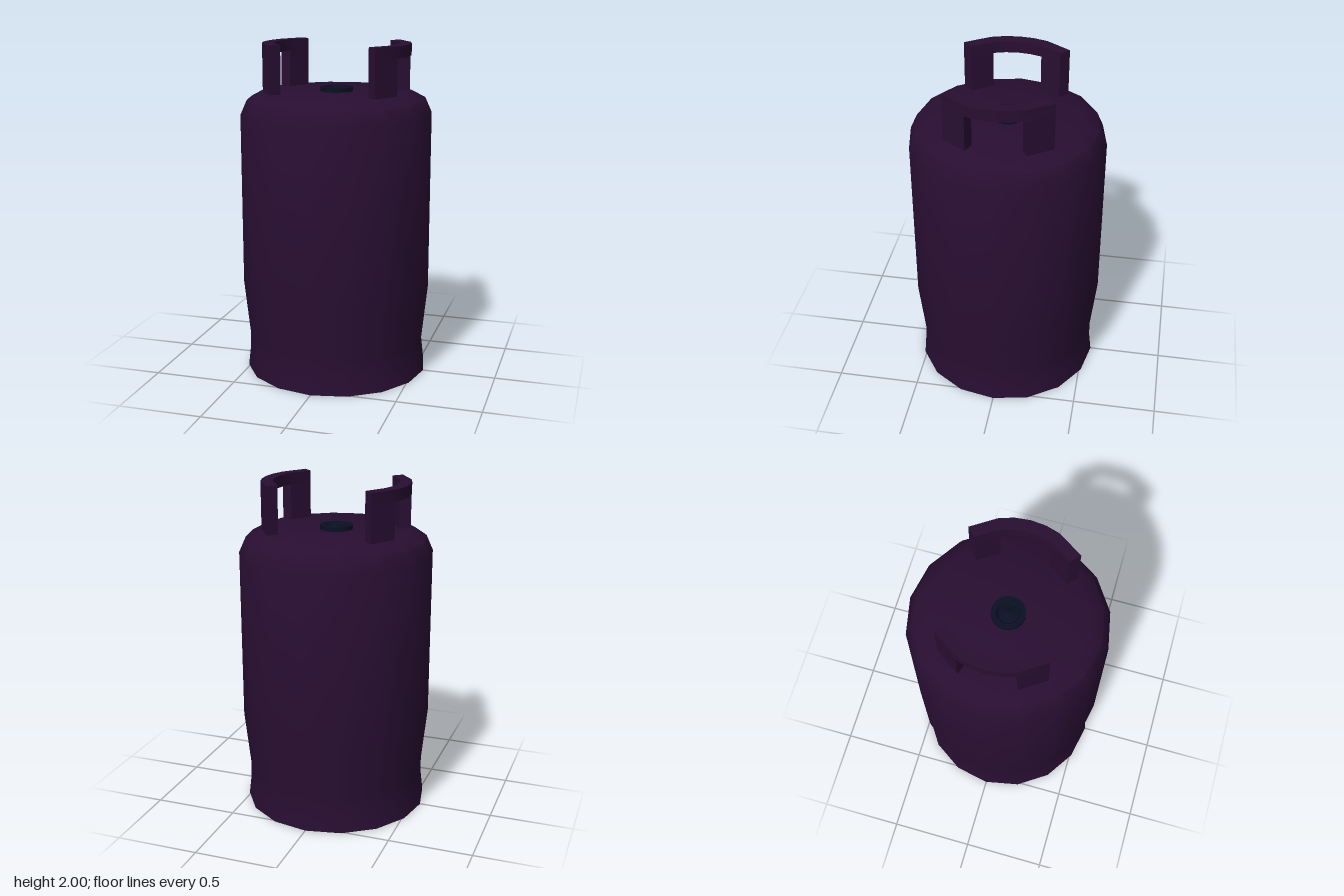
import * as THREE from 'three';
import { toCreasedNormals } from 'three/addons/utils/BufferGeometryUtils.js';

const bodyPaint = new THREE.MeshStandardMaterial({ color: 0x280e32 });
bodyPaint.name = 'darkPurplePaint';
const valveMetal = new THREE.MeshStandardMaterial({ color: 0x0a1022 });
valveMetal.name = 'darkBlueMetal';

function mesh(name, geometry, material, crease = 0.7) {
  const m = new THREE.Mesh(toCreasedNormals(geometry, crease), material);
  m.name = name;
  return m;
}

function lathe(points, segments) {
  return new THREE.LatheGeometry(points.map(([r, y]) => new THREE.Vector2(r, y)), segments);
}

// Curved bar: a ring sector through the given angles, extruded upward
function arcBar(angles, y0, y1) {
  const at = (r) => (deg) => {
    const a = THREE.MathUtils.degToRad(deg);
    return new THREE.Vector2(r * Math.cos(a), r * Math.sin(a));
  };
  const outline = [...angles.map(at(0.44)), ...[...angles].reverse().map(at(0.37))];
  const g = new THREE.ExtrudeGeometry(new THREE.Shape(outline), { depth: y1 - y0, bevelEnabled: false });
  return g.rotateX(-Math.PI / 2).translate(0, y0, 0);
}

export function createModel() {
  const model = new THREE.Group();
  model.name = 'gasCylinder';

  // Tank with recessed underside, foot ring and rounded shoulder
  model.add(mesh('tank', lathe([
    [0, 0.15], [0.19, 0.15], [0.235, 0.07], [0.485, 0.07], [0.53, 0],
    [0.555, 0], [0.54, 0.13], [0.54, 0.22], [0.575, 0.55],
    [0.575, 1.58], [0.535, 1.67], [0.45, 1.715], [0, 1.715],
  ], 16), bodyPaint));

  // Valve: raised collar with a shallow well and a small central tip
  model.add(mesh('valve', lathe([
    [0.097, 1.71], [0.097, 1.74], [0.068, 1.74], [0.058, 1.722],
    [0.03, 1.728], [0, 1.747],
  ], 16), valveMetal));

  // Two curved carrying handles, each a top bar on two posts
  for (const [name, turn] of [['leftHandle', 0], ['rightHandle', Math.PI]]) {
    const handle = new THREE.Group();
    handle.name = name;
    handle.add(
      mesh('gripBar', arcBar([-45, -22.5, -11.25, 0, 11.25, 22.5, 45], 1.93, 2), bodyPaint),
      mesh('frontPost', arcBar([-45, -22.5], 1.71, 1.93), bodyPaint),
      mesh('backPost', arcBar([22.5, 45], 1.71, 1.93), bodyPaint),
    );
    handle.rotation.y = turn;
    model.add(handle);
  }
  return model;
}
